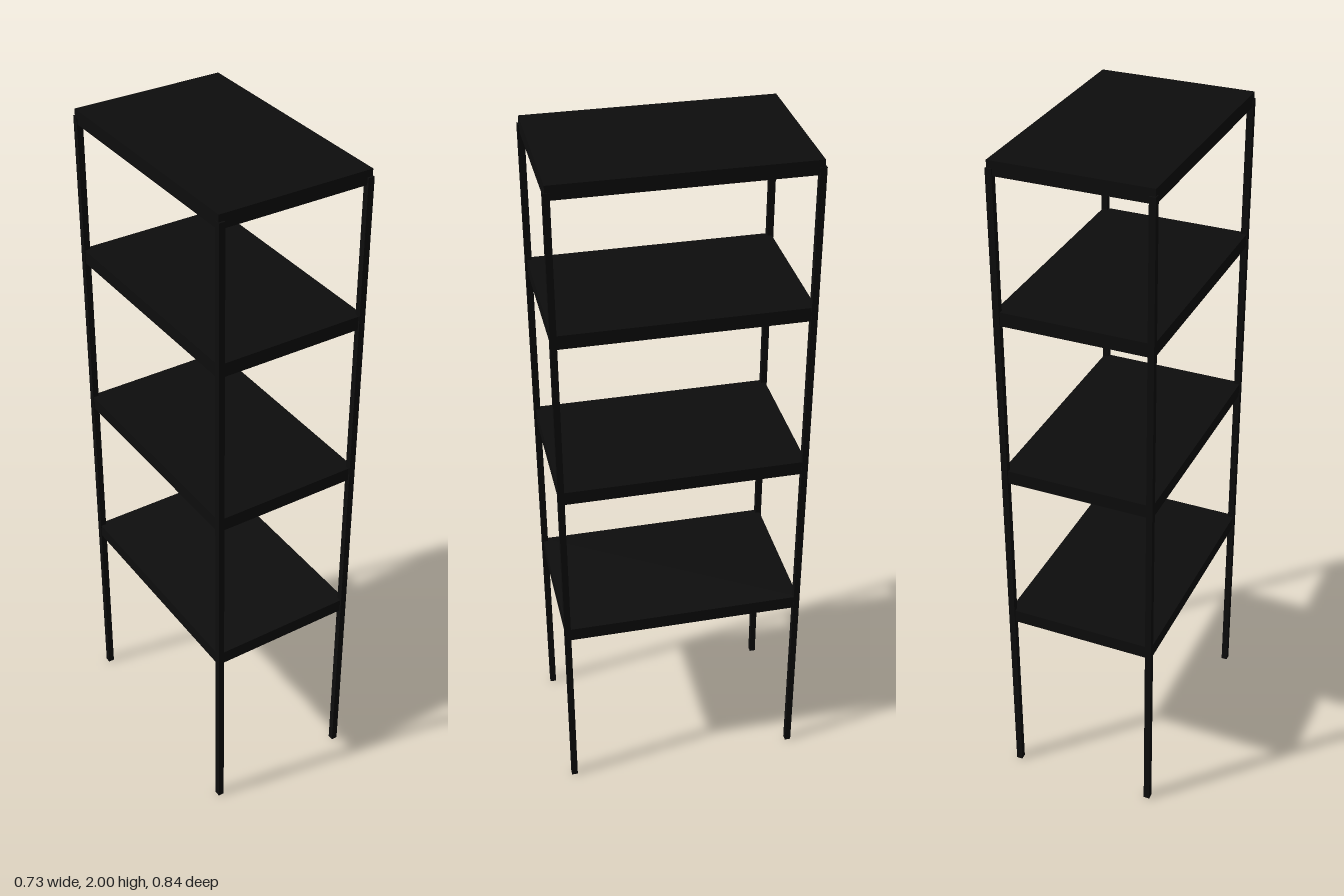
import * as THREE from 'three';

export function createModel() {
  const model = new THREE.Group();
  const material = new THREE.MeshStandardMaterial({ color: 0x0d0d0d });

  // Everything is built square, then turned about the vertical axis
  const rack = new THREE.Group();
  rack.name = 'shelvingRack';
  rack.rotation.y = THREE.MathUtils.degToRad(28);
  model.add(rack);

  const addBox = (name, width, height, depth, x, y, z) => {
    const mesh = new THREE.Mesh(new THREE.BoxGeometry(width, height, depth), material);
    mesh.name = name;
    mesh.position.set(x, y, z);
    rack.add(mesh);
  };

  // Four slabs, the highest one closing the top
  const thickness = 0.04;
  [0.577, 1.071, 1.565, 1.98].forEach((y, i) =>
    addBox(i === 3 ? 'topShelf' : `shelf${i + 1}`, 0.446, thickness, 0.702, 0, y, 0));

  // Slim square corner posts, standing slightly proud of the shelves
  const post = 0.018, postHeight = 1.98;
  for (const sx of [-1, 1])
    for (const sz of [-1, 1])
      addBox(`${sz > 0 ? 'front' : 'back'}${sx > 0 ? 'Left' : 'Right'}Post`,
        post, postHeight, post, sx * 0.216, postHeight / 2, sz * 0.347);

  return model;
}
